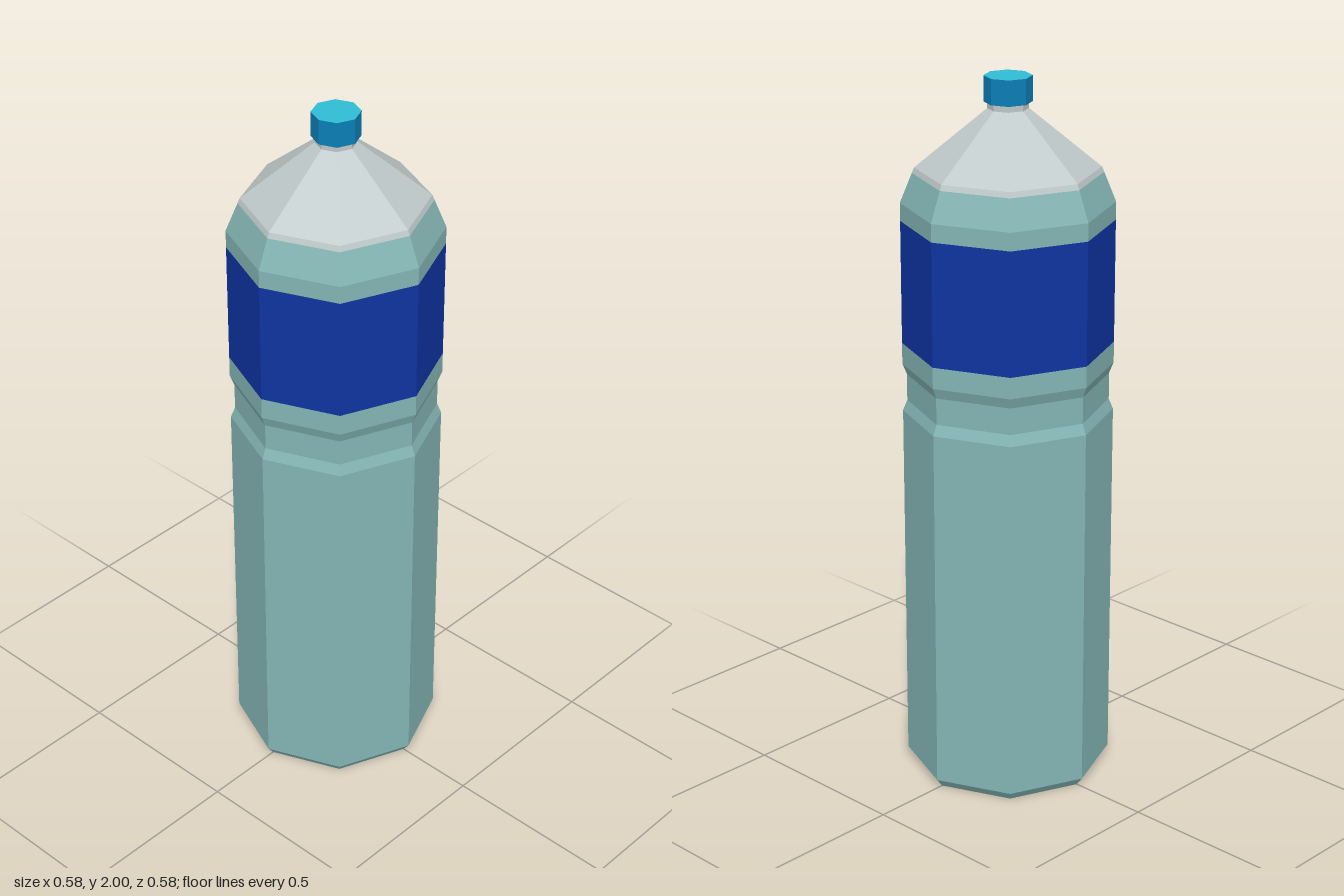
import * as THREE from 'three';

const SIDES = 8;

const mats = {};
for (const [name, color] of Object.entries({
  tealBody: 0x84b6b5,
  clearGrey: 0xc0caca,
  labelBlue: 0x0e34a2,
  capBlue: 0x0b7fb8,
  capTopCyan: 0x30bcd4,
})) {
  mats[name] = new THREE.MeshStandardMaterial({ color });
  mats[name].name = name;
}

// Faceted eight-sided band turned from [radius, height] pairs, listed bottom to top
function band(name, material, profile) {
  const points = profile.map(([r, y]) => new THREE.Vector2(r, y));
  const geometry = new THREE.LatheGeometry(points, SIDES).toNonIndexed();
  geometry.computeVertexNormals();
  const mesh = new THREE.Mesh(geometry, material);
  mesh.name = name;
  return mesh;
}

export function createModel() {
  const bottle = new THREE.Group();
  bottle.name = 'bottle';
  bottle.add(
    // Flat underside
    band('base', mats.clearGrey, [[0, 0], [0.27, 0]]),
    // Straight wall with bevelled foot and a grip groove
    band('lowerBody', mats.tealBody, [
      [0.27, 0], [0.289, 0.025], [0.289, 1.065], [0.277, 1.095],
      [0.277, 1.17], [0.289, 1.2], [0.289, 1.26],
    ]),
    band('label', mats.labelBlue, [[0.289, 1.26], [0.289, 1.605]]),
    // Filled shoulder up to the liquid line
    band('lowerShoulder', mats.tealBody, [[0.289, 1.605], [0.289, 1.655], [0.256, 1.737]]),
    // Empty upper shoulder
    band('upperShoulder', mats.clearGrey, [[0.256, 1.737], [0.25, 1.752], [0.055, 1.912]]),
    band('neck', mats.clearGrey, [[0.055, 1.912], [0.055, 1.932]]),
    // Screw cap
    band('capSide', mats.capBlue, [[0, 1.93], [0.065, 1.93], [0.065, 2]]),
    band('capTop', mats.capTopCyan, [[0.065, 2], [0, 2]]),
  );
  return bottle;
}
